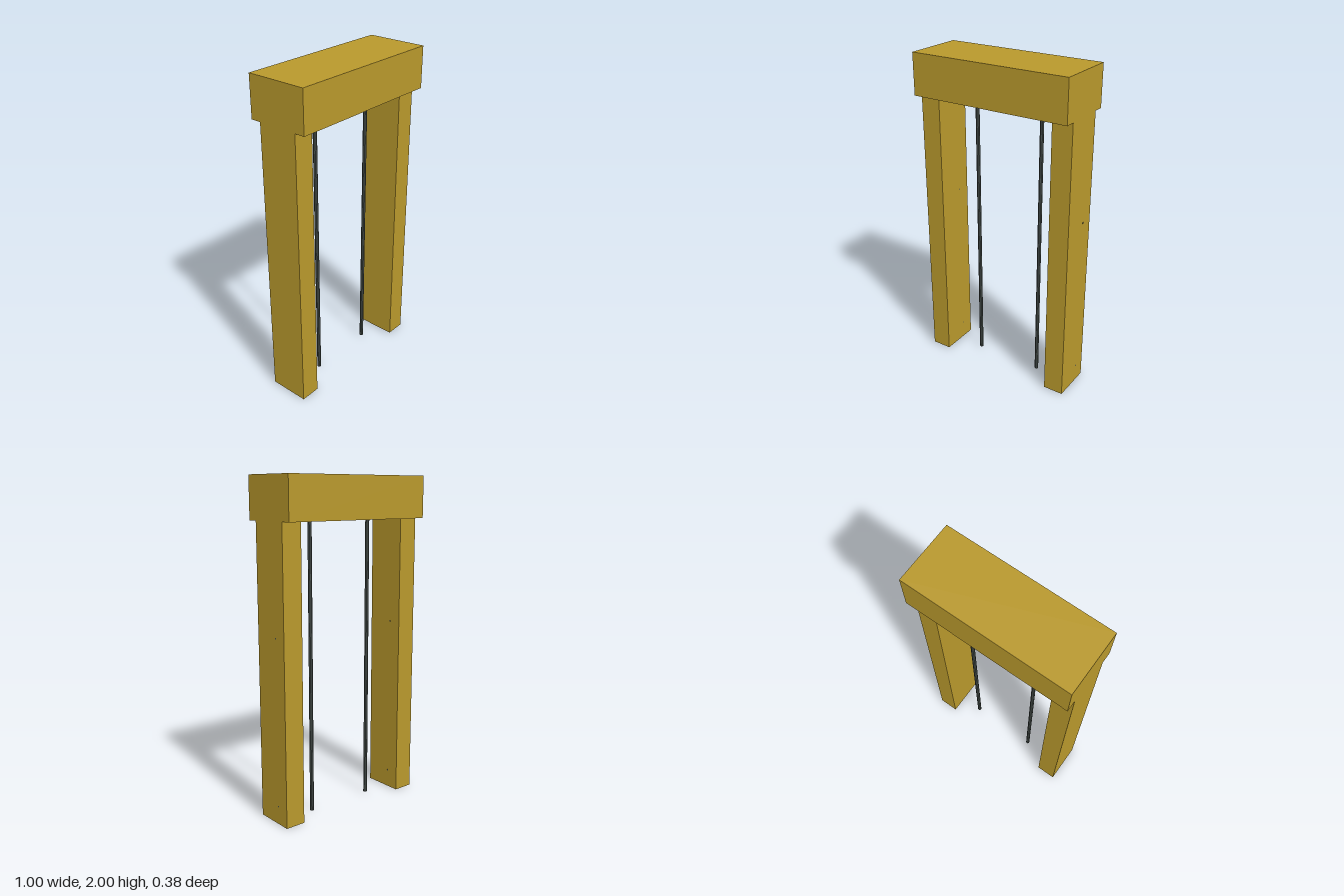
import * as THREE from 'three';

export function createModel() {
  const model = new THREE.Group();
  const gold = new THREE.MeshStandardMaterial({ color: 0xb8982c });
  gold.name = 'gold';
  const darkMetal = new THREE.MeshStandardMaterial({ color: 0x48504c });
  darkMetal.name = 'darkMetal';

  function add(name, geometry, material, x, y, z) {
    const mesh = new THREE.Mesh(geometry, material);
    mesh.name = name;
    mesh.position.set(x, y, z);
    model.add(mesh);
    return mesh;
  }

  // Lintel across the top
  add('lintel', new THREE.BoxGeometry(1, 0.25, 0.376), gold, 0, 1.875, 0);

  // Square posts
  for (const side of [1, -1]) {
    const name = side > 0 ? 'left' : 'right';
    add(name + 'Post', new THREE.BoxGeometry(0.125, 1.75, 0.25), gold, side * 0.4375, 0.875, 0);

    // Tiny pins on the post's +x face
    for (const y of [0.11, 1.11]) {
      add(name + 'PostPin', new THREE.BoxGeometry(0.002, 0.008, 0.008), darkMetal,
        side * 0.4375 + 0.0625, y, -0.045);
    }
  }

  // Thin hanging rods, set slightly off centre
  const rod = new THREE.CylinderGeometry(0.012, 0.012, 1.75, 8).toNonIndexed();
  rod.computeVertexNormals();
  add('leftRod', rod, darkMetal, 0.233, 0.875, -0.015);
  add('rightRod', rod, darkMetal, -0.203, 0.875, -0.015);

  return model;
}
